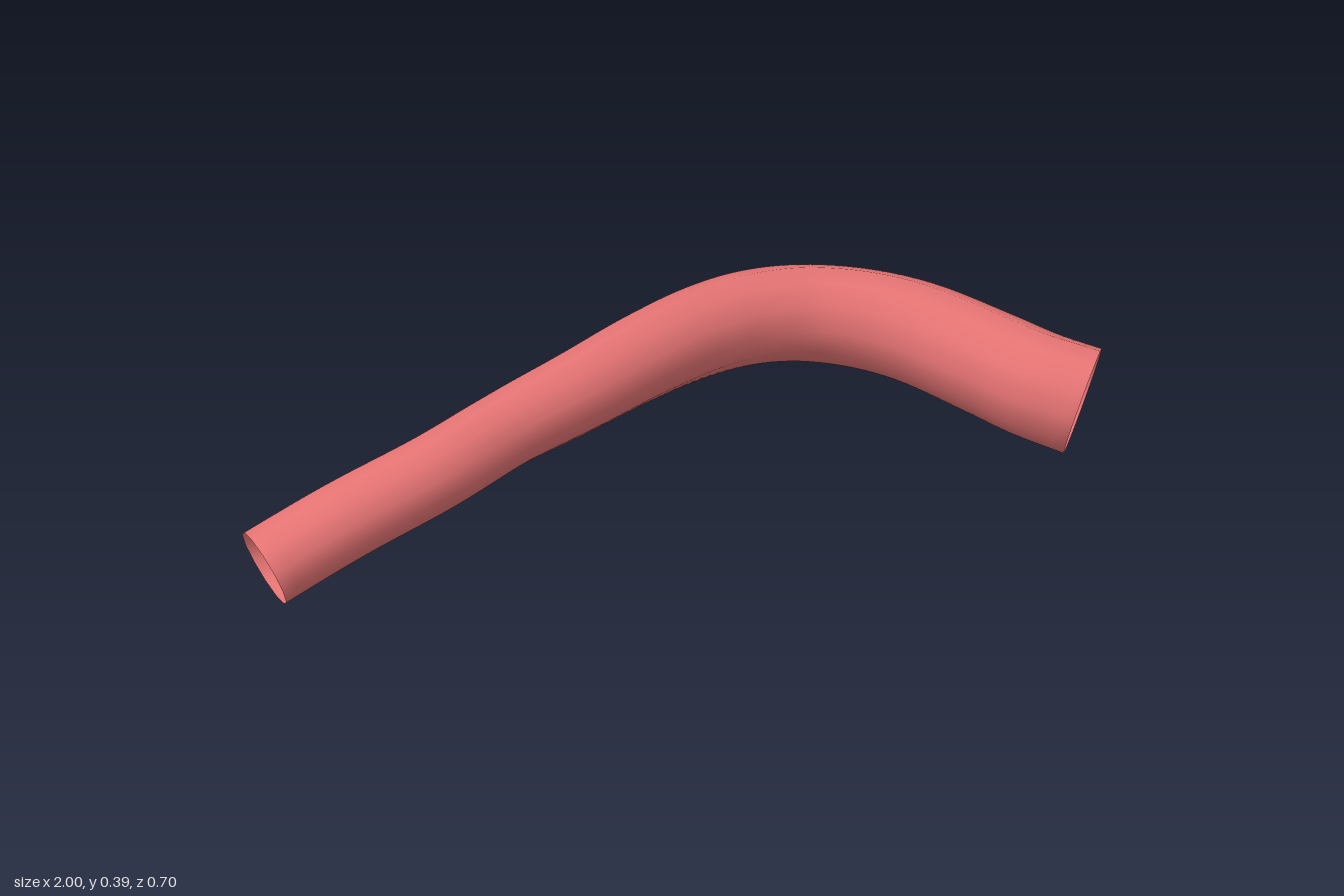
import * as THREE from 'three';

const SIDES = 12;
const STEPS = 72;

// Centre line of the hose, from the narrow end to the wide end
const path = new THREE.CatmullRomCurve3([
  [-0.967, 0.08, -0.046], [-0.8, 0.142, -0.034], [-0.6, 0.192, -0.041], [-0.4, 0.228, -0.088],
  [-0.2, 0.256, -0.128], [0, 0.279, -0.18], [0.2, 0.289, -0.23], [0.35, 0.288, -0.245],
  [0.48, 0.278, -0.225], [0.6, 0.26, -0.16], [0.69, 0.235, -0.07], [0.785, 0.185, 0.09],
  [0.835, 0.156, 0.185], [0.903, 0.128, 0.27],
].map((p) => new THREE.Vector3(...p)));

// The bore widens steadily past the straight section
const radiusAt = (x) => 0.083 + 0.044 * THREE.MathUtils.clamp((x + 0.4) / 1.3, 0, 1);

function hoseGeometry() {
  const positions = [], index = [];
  const up = new THREE.Vector3(0, 1, 0);
  for (let i = 0; i <= STEPS; i++) {
    const u = i / STEPS;
    const centre = path.getPointAt(u);
    const tangent = path.getTangentAt(u);
    const side = new THREE.Vector3().crossVectors(tangent, up).normalize();
    const top = new THREE.Vector3().crossVectors(side, tangent);
    const radius = radiusAt(centre.x);
    const twist = (1 - u) * Math.PI / SIDES;
    for (let j = 0; j < SIDES; j++) {
      const a = (j / SIDES) * Math.PI * 2 + twist;
      const p = centre.clone()
        .addScaledVector(top, radius * Math.cos(a))
        .addScaledVector(side, radius * Math.sin(a));
      positions.push(p.x, p.y, p.z);
      if (i === STEPS) continue;
      const k = (j + 1) % SIDES;
      const q = i * SIDES;
      index.push(q + j, q + k, q + SIDES + j, q + k, q + SIDES + k, q + SIDES + j);
    }
  }
  const geometry = new THREE.BufferGeometry();
  geometry.setAttribute('position', new THREE.Float32BufferAttribute(positions, 3));
  geometry.setIndex(index);
  geometry.computeVertexNormals();
  return geometry;
}

export function createModel() {
  const group = new THREE.Group();
  group.name = 'bentHose';
  // Thin tube, open at both ends
  const material = new THREE.MeshStandardMaterial({ color: 0xe57373, side: THREE.DoubleSide });
  const hose = new THREE.Mesh(hoseGeometry(), material);
  hose.name = 'hose';
  group.add(hose);
  return group;
}
